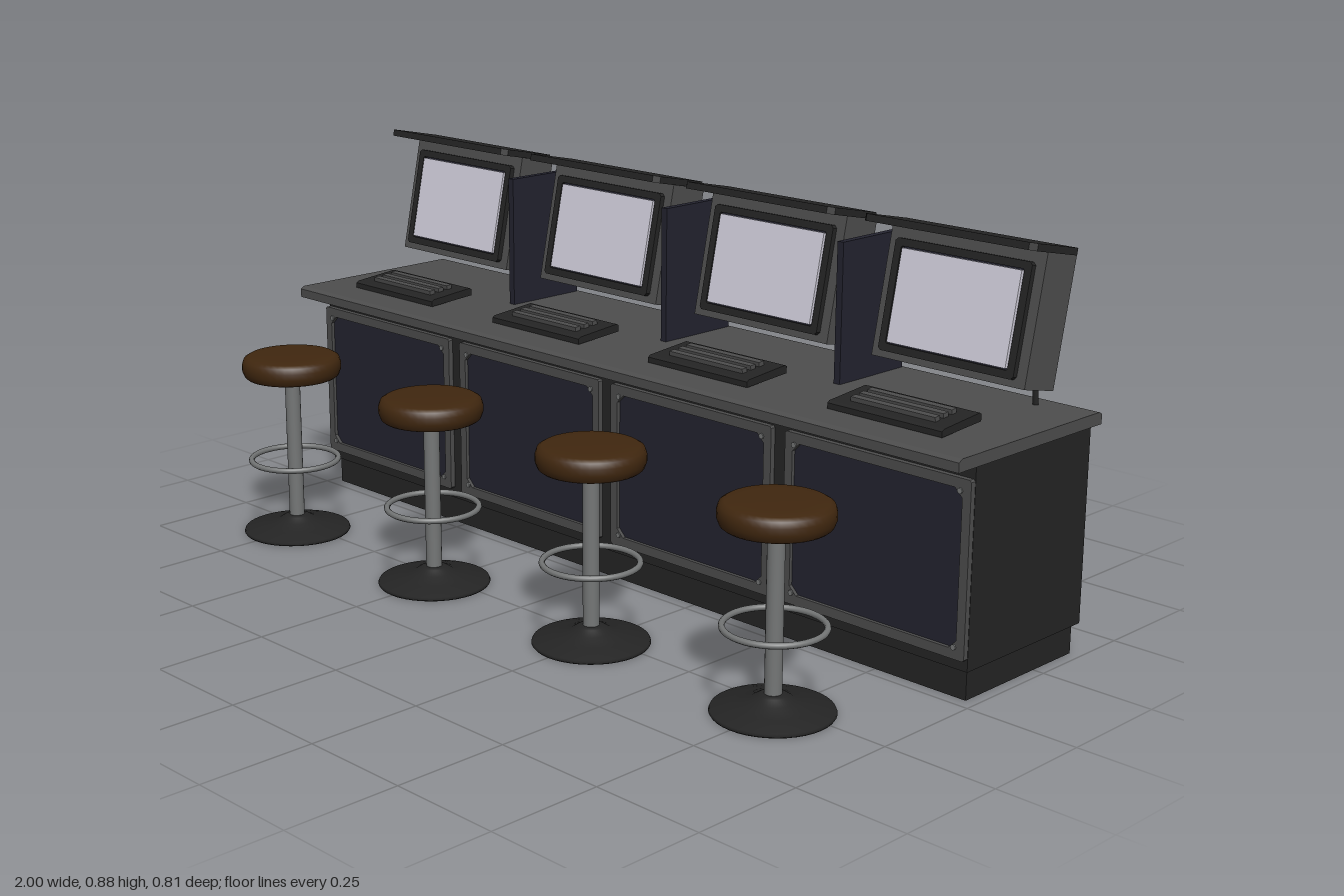
import * as THREE from 'three';

const mat = (name, color) => {
  const m = new THREE.MeshStandardMaterial({ color });
  m.name = name;
  return m;
};

const polygon = (points) => new THREE.Shape(points.map(([x, y]) => new THREE.Vector2(x, y)));

// Rectangle with clipped corners
const clippedRect = (w, h, c) => [
  [-w / 2 + c, -h / 2], [w / 2 - c, -h / 2], [w / 2, -h / 2 + c], [w / 2, h / 2 - c],
  [w / 2 - c, h / 2], [-w / 2 + c, h / 2], [-w / 2, h / 2 - c], [-w / 2, -h / 2 + c],
];

const extrude = (shape, depth) => new THREE.ExtrudeGeometry(shape, { depth, bevelEnabled: false });

// Side profile of [z, y] points, swept along x and centred
function sweepX(points, width) {
  const shape = polygon(points.map(([z, y]) => [-z, y]));
  return extrude(shape, width).translate(0, 0, -width / 2).rotateY(Math.PI / 2);
}

export function createModel() {
  const model = new THREE.Group();
  model.name = 'terminalDesk';

  const grey = mat('grey casing', 0x4d4d4d);
  const black = mat('black cabinet', 0x242424);
  const navy = mat('navy panel', 0x23232f);
  const screenMat = mat('pale screen', 0xd0cedb);
  const metal = mat('stool metal', 0x747676);
  const leather = mat('brown leather', 0x40270f);

  const add = (parent, name, geometry, material, x = 0, y = 0, z = 0) => {
    const mesh = new THREE.Mesh(geometry, material);
    mesh.name = name;
    mesh.position.set(x, y, z);
    parent.add(mesh);
    return mesh;
  };
  const box = (parent, name, w, h, d, material, x, y, z) =>
    add(parent, name, new THREE.BoxGeometry(w, h, d), material, x, y, z);

  // Cabinet and worktop
  box(model, 'plinth', 1.95, 0.066, 0.349, black, 0, 0.033, -0.2025);
  box(model, 'cabinet', 1.97, 0.422, 0.375, black, 0, 0.276, -0.2025);
  add(model, 'worktop', sweepX([
    [0.06, 0.487], [0.06, 0.507], [0.05, 0.513], [-0.395, 0.513], [-0.404, 0.508], [-0.404, 0.487],
  ], 2), grey);

  // Front bays: navy panel inside a raised frame
  function frontBay(x) {
    const bay = new THREE.Group();
    bay.name = 'frontBay';
    bay.position.set(x, 0.272, -0.015);
    const outline = polygon(clippedRect(0.464, 0.366, 0.004));
    outline.holes.push(new THREE.Path(polygon(clippedRect(0.424, 0.324, 0.018)).getPoints().reverse()));
    add(bay, 'bayFrame', extrude(outline, 0.012), grey);
    box(bay, 'bayPanel', 0.44, 0.34, 0.004, navy, 0, 0, 0.002);
    for (const sx of [-1, 1]) for (const sy of [-1, 1]) {
      const bolt = add(bay, 'cornerBolt', new THREE.CylinderGeometry(0.006, 0.006, 0.004, 8), metal,
        sx * 0.207, sy * 0.158, 0.013);
      bolt.rotation.x = Math.PI / 2;
    }
    model.add(bay);
  }

  // Tilted display with a hood and rear post
  function display(x) {
    const unit = new THREE.Group();
    unit.name = 'display';
    unit.position.set(x, 0.702, -0.298);
    unit.rotation.x = -0.208;
    box(unit, 'displayCasing', 0.38, 0.27, 0.1, grey, 0, 0, 0);
    // bezel is a ring, so the screen sits inside it
    const ring = polygon(clippedRect(0.335, 0.232, 0.006));
    ring.holes.push(new THREE.Path(polygon(clippedRect(0.302, 0.2, 0.003)).getPoints().reverse()));
    add(unit, 'bezel', extrude(ring, 0.012), black, 0, -0.004, 0.05);
    box(unit, 'screenBacking', 0.31, 0.208, 0.004, navy, 0, -0.004, 0.052);
    box(unit, 'screen', 0.294, 0.194, 0.009, screenMat, 0, -0.004, 0.0595);
    const hood = extrude(polygon([
      [-0.21, 0.0745], [-0.21, -0.062], [-0.198, -0.0745], [0.198, -0.0745], [0.21, -0.062], [0.21, 0.0745],
    ]), 0.015).rotateX(-Math.PI / 2);
    add(unit, 'hood', hood, black, 0, 0.136, 0.055);
    model.add(unit);
    const post = add(model, 'rearPost', new THREE.CylinderGeometry(0.006, 0.006, 0.08, 10), black,
      x + 0.128, 0.55, -0.348);
    post.rotation.x = 0.1;
  }

  // Wedge keyboard with three long key rows
  function keyboard(x) {
    const unit = new THREE.Group();
    unit.name = 'keyboard';
    unit.position.set(x, 0.513, 0);
    add(unit, 'keyboardBase', sweepX([
      [-0.028, 0.001], [-0.028, 0.013], [-0.034, 0.017], [-0.146, 0.027], [-0.151, 0.024], [-0.151, 0.009],
    ], 0.285), black);
    [-0.062, -0.088, -0.114].forEach((z) => {
      const row = box(unit, 'keyRow', 0.21, 0.012, 0.015, grey, 0, 0.016 - (z + 0.028) * 0.09 + 0.004, z);
      row.rotation.x = 0.09;
    });
    model.add(unit);
  }

  const lathe = (pts, n = 40) =>
    new THREE.LatheGeometry(pts.map(([r, y]) => new THREE.Vector2(r, y)), n);

  // Round stool with foot ring
  function stool(x) {
    const unit = new THREE.Group();
    unit.name = 'stool';
    unit.position.set(x, 0, 0.28);
    add(unit, 'stoolBase', lathe([
      [0, 0], [0.122, 0], [0.124, 0.003], [0.122, 0.008], [0.08, 0.017], [0.045, 0.027],
      [0.03, 0.037], [0.022, 0.04], [0, 0.04],
    ]), black);
    add(unit, 'stoolPole', new THREE.CylinderGeometry(0.0175, 0.0175, 0.35, 20), metal, 0, 0.21, 0);
    const ring = add(unit, 'footRing', new THREE.TorusGeometry(0.101, 0.0065, 10, 48), metal, 0, 0.176, 0);
    ring.rotation.x = Math.PI / 2;
    add(unit, 'seat', lathe([
      [0, 0.377], [0.104, 0.377], [0.109, 0.381], [0.114, 0.394], [0.114, 0.408],
      [0.11, 0.42], [0.1, 0.426], [0.07, 0.428], [0, 0.428],
    ]), leather);
    model.add(unit);
  }

  for (const x of [-0.75, -0.25, 0.25, 0.75]) {
    frontBay(x * 1.003);
    display(x);
    keyboard(x);
    stool(x);
  }

  // Privacy dividers between the stations
  for (const x of [-0.5, 0, 0.5])
    box(model, 'divider', 0.016, 0.3, 0.205, navy, x, 0.663, -0.2875);

  return model;
}
